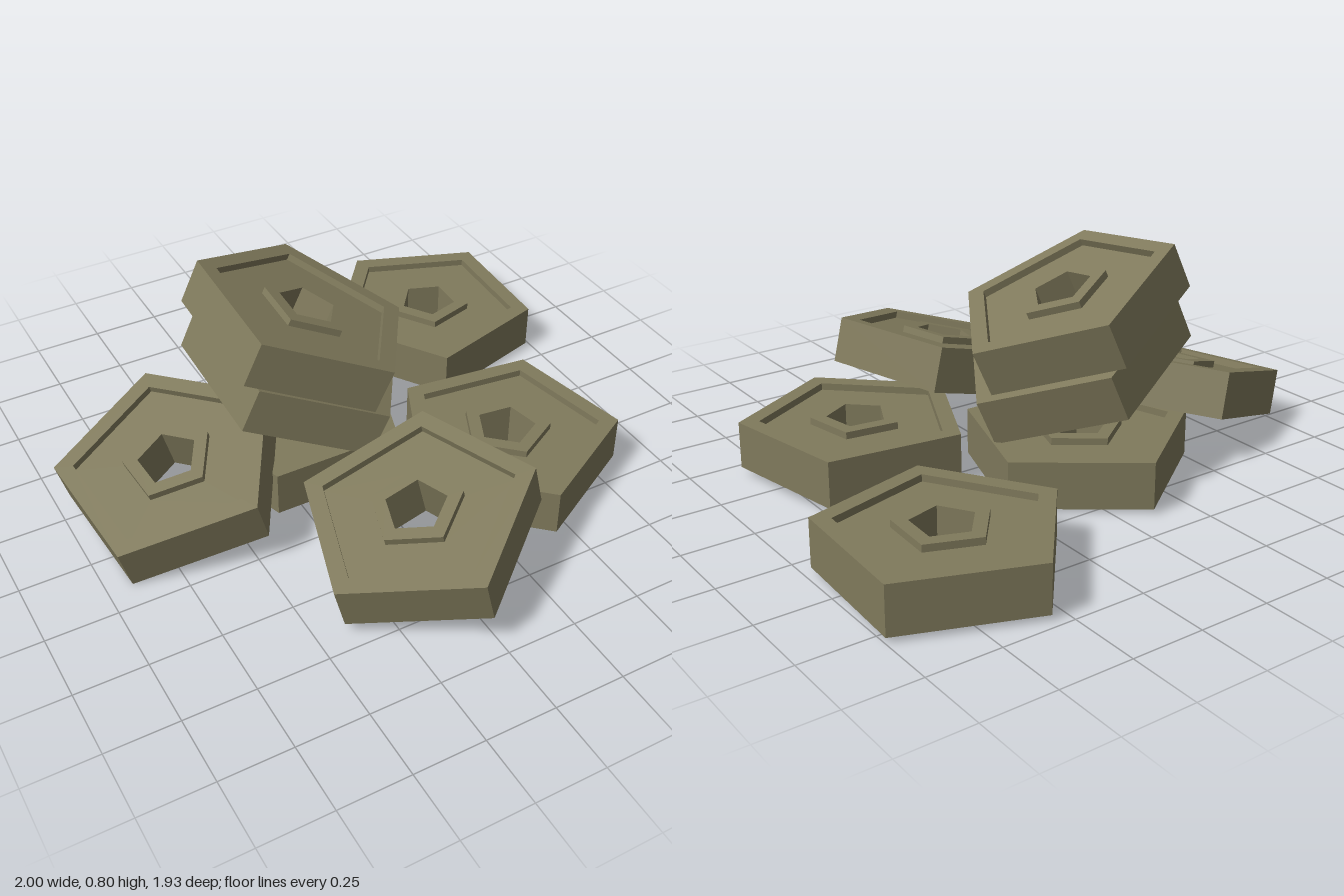
import * as THREE from 'three';

const R = 0.402;     // corner radius
const T = 0.165;     // thickness
const RECESS = 0.025;

// Closed half-section of one piece: rim, sunken ring and collar around the hole, alike on both faces
function pieceGeometry() {
  const h = T / 2, s = h - RECESS;
  const rim = 0.333, collar = 0.16, hole = 0.106;
  const section = [
    [hole, -h], [collar, -h], [collar, -s], [rim, -s], [rim, -h], [R, -h],
    [R, h], [rim, h], [rim, s], [collar, s], [collar, h], [hole, h], [hole, -h],
  ].map(([x, y]) => new THREE.Vector2(x, y));
  const geometry = new THREE.LatheGeometry(section, 5).toNonIndexed();
  geometry.computeVertexNormals();
  return geometry;
}

// top: centre of the upper face; slope: rise along x and z; corner: heading of one corner in x and z
const PIECES = [
  { name: 'backRightPiece', top: [0.662, 0.178, -0.579], slope: [0, 0], corner: [-0.143, 0.375] },
  { name: 'frontRightPiece', top: [0.478, 0.191, 0.25], slope: [0, 0], corner: [-0.05, 0.4] },
  { name: 'bottomMiddlePiece', top: [-0.11, 0.178, -0.231], slope: [0, 0], corner: [0, -1] },
  { name: 'leaningLeftPiece', top: [-0.665, 0.264, -0.084], slope: [0.28, -0.115], corner: [0.387, -0.024] },
  { name: 'leaningFrontPiece', top: [-0.082, 0.296, 0.557], slope: [0.262, -0.047], corner: [0.009, 0.4] },
  { name: 'lowerStackedPiece', top: [-0.1, 0.471, -0.157], slope: [-0.405, -0.109], corner: [0.373, -0.023] },
  { name: 'upperStackedPiece', top: [-0.085, 0.649, -0.157], slope: [-0.41, -0.109], corner: [0.373, -0.023] },
];

export function createModel() {
  const model = new THREE.Group();
  model.name = 'pentagonPile';
  const olive = new THREE.MeshStandardMaterial({ color: 0x807a5c, flatShading: true });
  olive.name = 'olive grey';
  const geometry = pieceGeometry();

  for (const { name, top, slope: [a, b], corner: [cx, cz] } of PIECES) {
    const up = new THREE.Vector3(-a, 1, -b).normalize();
    const out = new THREE.Vector3(cx, a * cx + b * cz, cz).normalize();
    const side = new THREE.Vector3().crossVectors(up, out);
    const mesh = new THREE.Mesh(geometry, olive);
    mesh.name = name;
    mesh.quaternion.setFromRotationMatrix(new THREE.Matrix4().makeBasis(side, up, out));
    mesh.position.set(...top).addScaledVector(up, -T / 2);
    model.add(mesh);
  }
  return model;
}
